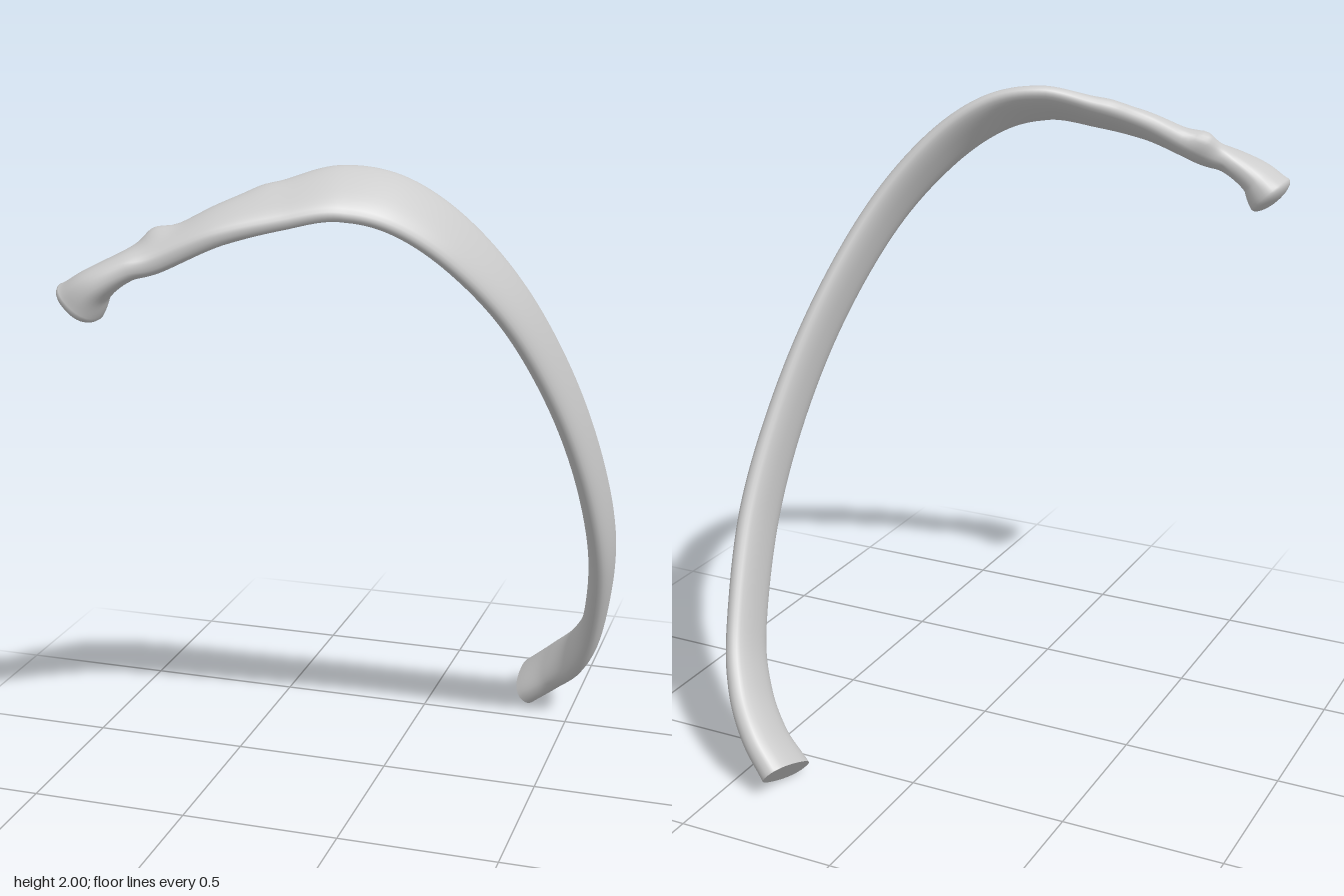
import * as THREE from 'three';

// Stations from head to cut end: centre x, y, z, half width, half thickness, tilt of the wide axis
const STATIONS = [
  [-0.66, 1.655, 0.705, 0.085, 0.07, -0.1],
  [-0.61, 1.705, 0.705, 0.08, 0.05, 0.0],
  [-0.53, 1.755, 0.68, 0.066, 0.04, 0.15],
  [-0.45, 1.785, 0.645, 0.062, 0.042, 0.35],
  [-0.3, 1.86, 0.575, 0.077, 0.04, 0.45],
  [-0.15, 1.907, 0.497, 0.092, 0.036, 0.5],
  [0, 1.937, 0.42, 0.11, 0.034, 0.5],
  [0.15, 1.9, 0.355, 0.113, 0.034, 0.5],
  [0.3, 1.78, 0.272, 0.108, 0.035, 0.5],
  [0.44, 1.58, 0.152, 0.098, 0.036, 0.5],
  [0.55, 1.3, -0.008, 0.094, 0.036, 0.5],
  [0.617, 1.0, -0.165, 0.094, 0.038, 0.5],
  [0.636, 0.7, -0.322, 0.098, 0.04, 0.5],
  [0.59, 0.4, -0.487, 0.098, 0.038, 0.5],
  [0.525, 0.245, -0.58, 0.105, 0.042, 0.48],
  [0.43, 0.14, -0.655, 0.105, 0.047, 0.4],
  [0.335, 0.055, -0.69, 0.104, 0.052, 0.3],
];
const SIDES = 28;
const RINGS = 150;
const DOME = 6;

// Small raised lumps: centre, radius, height
const BUMPS = [
  [new THREE.Vector3(-0.47, 1.835, 0.61), 0.045, 0.03],
  [new THREE.Vector3(-0.21, 1.93, 0.45), 0.05, 0.01],
];

const spline = (pick) => new THREE.CatmullRomCurve3(
  STATIONS.map((s) => new THREE.Vector3(...pick(s))), false, 'catmullrom', 0.5);

const softPow = (v) => Math.sign(v) * Math.abs(v) ** 0.85;

function makeRing(path, size, t, scale = 1, shift = 0) {
  const T = path.getTangent(t);
  const c = path.getPoint(t).addScaledVector(T, shift);
  const s = size.getPoint(t);
  const W = new THREE.Vector3(0, Math.sin(s.z), -Math.cos(s.z));
  W.addScaledVector(T, -W.dot(T)).normalize();
  const N = new THREE.Vector3().crossVectors(T, W);
  const ring = [];
  for (let j = 0; j < SIDES; j++) {
    const a = (j / SIDES) * Math.PI * 2;
    const off = W.clone().multiplyScalar(softPow(Math.cos(a)) * s.x * scale)
      .addScaledVector(N, softPow(Math.sin(a)) * s.y * scale);
    const p = c.clone().add(off);
    for (const [b, r, h] of BUMPS) {
      const push = h * Math.exp(-p.distanceToSquared(b) / (r * r));
      p.addScaledVector(off.clone().normalize(), push);
    }
    ring.push(p);
  }
  return ring;
}

function toGeometry(points, index) {
  const g = new THREE.BufferGeometry().setFromPoints(points);
  g.setIndex(index);
  g.computeVertexNormals();
  return g;
}

export function createModel() {
  const group = new THREE.Group();
  group.name = 'rib';
  const material = new THREE.MeshStandardMaterial({ color: 0xcccccc });
  const path = spline((s) => s.slice(0, 3));
  const size = spline((s) => s.slice(3));

  // Rounded head, then the swept shaft
  const rings = [];
  for (let k = 0; k < DOME; k++) {
    const a = (1 - k / DOME) * Math.PI / 2;
    rings.push(makeRing(path, size, 0, Math.max(Math.cos(a), 0.001), -0.03 * Math.sin(a)));
  }
  for (let i = 0; i <= RINGS; i++) rings.push(makeRing(path, size, i / RINGS));

  const index = [];
  for (let i = 0; i < rings.length - 1; i++) {
    for (let j = 0; j < SIDES; j++) {
      const k = (j + 1) % SIDES;
      const a = i * SIDES + j, b = i * SIDES + k;
      index.push(a, b, a + SIDES, b, b + SIDES, a + SIDES);
    }
  }
  const shaft = new THREE.Mesh(toGeometry(rings.flat(), index), material);
  shaft.name = 'headAndShaft';
  group.add(shaft);

  // Flat face at the front end of the rib
  const rim = rings[rings.length - 1];
  const fan = [];
  for (let j = 0; j < SIDES; j++) fan.push(SIDES, j, (j + 1) % SIDES);
  const cap = new THREE.Mesh(toGeometry([...rim, path.getPoint(1)], fan), material);
  cap.name = 'endFace';
  group.add(cap);

  return group;
}
